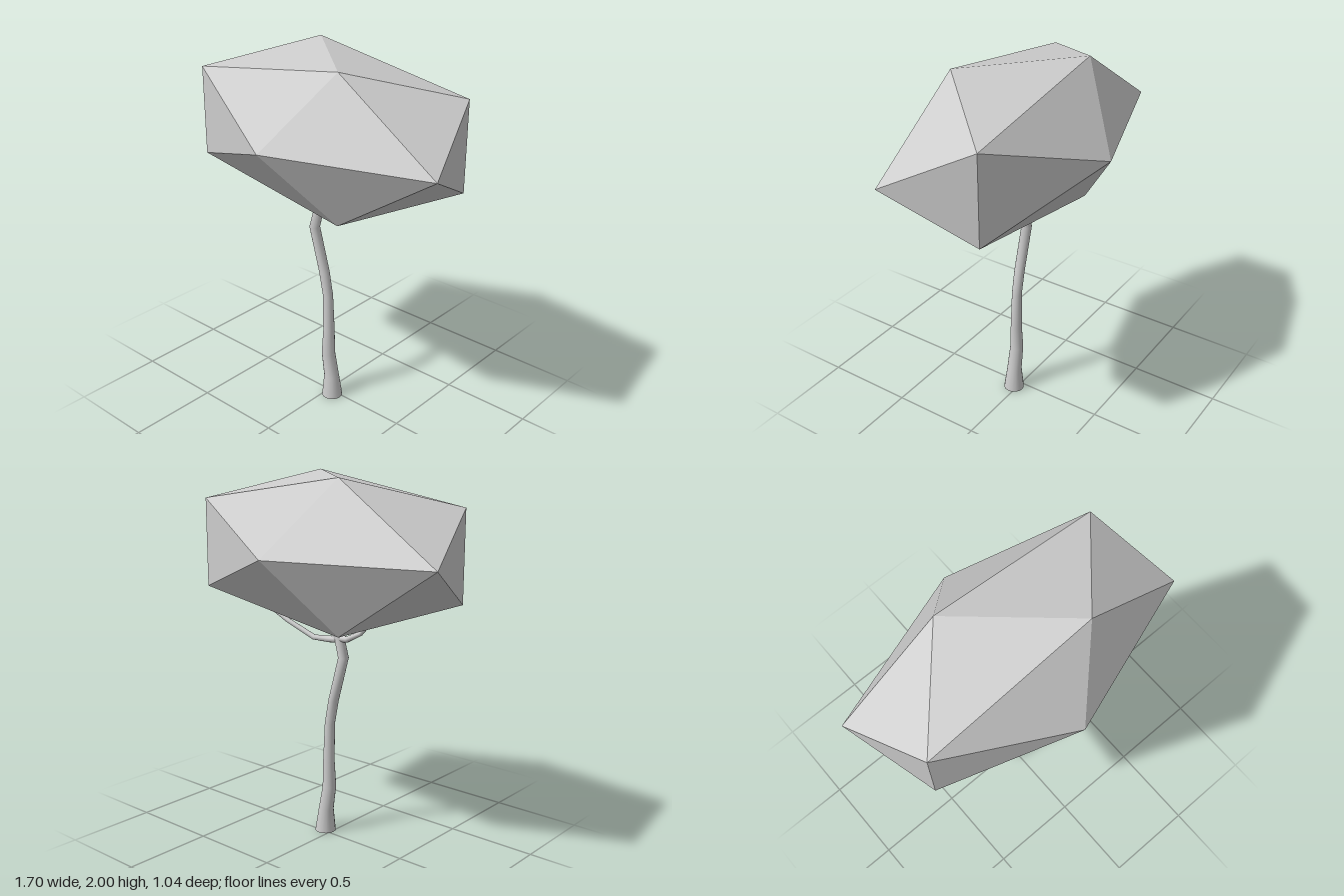
import * as THREE from 'three';

const material = new THREE.MeshStandardMaterial({ color: 0xcccccc });
const flatMaterial = new THREE.MeshStandardMaterial({ color: 0xcccccc, flatShading: true });
const UP = new THREE.Vector3(0, 1, 0);

// Tapered limb through stations [x, y, z, radius]; level keeps every ring horizontal.
function limb(name, stations, sides, level = false) {
  const group = new THREE.Group();
  group.name = name;
  const centres = stations.map(([x, y, z]) => new THREE.Vector3(x, y, z));
  const last = centres.length - 1;
  const rings = centres.map((centre, i) => {
    const tangent = centres[Math.min(i + 1, last)].clone().sub(centres[Math.max(i - 1, 0)]).normalize();
    const turn = new THREE.Quaternion().setFromUnitVectors(UP, level ? UP : tangent);
    return Array.from({ length: sides }, (_, j) => {
      const a = (j / sides) * Math.PI * 2;
      return new THREE.Vector3(Math.sin(a), 0, Math.cos(a))
        .multiplyScalar(stations[i][3]).applyQuaternion(turn).add(centre);
    });
  });

  // Smooth side wall
  const wallIndex = [];
  for (let i = 0; i < last; i++) {
    for (let j = 0; j < sides; j++) {
      const k = (j + 1) % sides;
      const a = i * sides + j, b = i * sides + k;
      wallIndex.push(a, b, b + sides, a, b + sides, a + sides);
    }
  }
  const wall = new THREE.BufferGeometry().setFromPoints(rings.flat());
  wall.setIndex(wallIndex);
  wall.computeVertexNormals();

  // Flat end caps with their own vertices
  const capIndex = [];
  for (let j = 1; j < sides - 1; j++) {
    capIndex.push(0, j + 1, j, sides, sides + j, sides + j + 1);
  }
  const caps = new THREE.BufferGeometry().setFromPoints([...rings[0], ...rings[last]]);
  caps.setIndex(capIndex);
  caps.computeVertexNormals();

  for (const [part, geometry] of [['Wall', wall], ['Ends', caps]]) {
    const mesh = new THREE.Mesh(geometry, material);
    mesh.name = name + part;
    group.add(mesh);
  }
  return group;
}

export function createModel() {
  const tree = new THREE.Group();
  tree.name = 'tree';

  // Crown: a stretched icosahedron with one corner facing front
  const golden = (1 + Math.sqrt(5)) / 2;
  const crownGeometry = new THREE.IcosahedronGeometry(1, 0);
  crownGeometry.rotateX(Math.atan(1 / golden));
  crownGeometry.rotateZ(Math.PI / 2);
  crownGeometry.scale(0.951, 0.462, 0.52);
  const crown = new THREE.Mesh(crownGeometry, flatMaterial);
  crown.name = 'crown';
  crown.position.y = 1.607;
  tree.add(crown);

  // Bent trunk, flared at the foot
  tree.add(limb('trunk', [
    [0.045, 0, 0.022, 0.058],
    [0.04, 0.13, 0.022, 0.042],
    [0.016, 0.27, 0.022, 0.038],
    [0.02, 0.42, 0.022, 0.032],
    [0.013, 0.64, 0.022, 0.028],
    [-0.014, 0.78, 0.022, 0.029],
    [-0.083, 1.03, 0.022, 0.029],
    [-0.03, 1.225, 0.022, 0.027],
  ], 16, true));

  // Two thin branches reaching into the crown
  tree.add(limb('leftBranch', [
    [-0.07, 1.13, 0.025, 0.019],
    [0, 1.123, 0.005, 0.018],
    [0.09, 1.125, -0.02, 0.015],
    [0.25, 1.205, -0.06, 0.013],
    [0.4, 1.295, -0.092, 0.01],
  ], 10));
  tree.add(limb('rightBranch', [
    [-0.02, 1.13, 0.015, 0.019],
    [-0.11, 1.135, 0.018, 0.017],
    [-0.2, 1.18, 0.02, 0.013],
    [-0.285, 1.265, 0.02, 0.009],
  ], 10));

  return tree;
}
